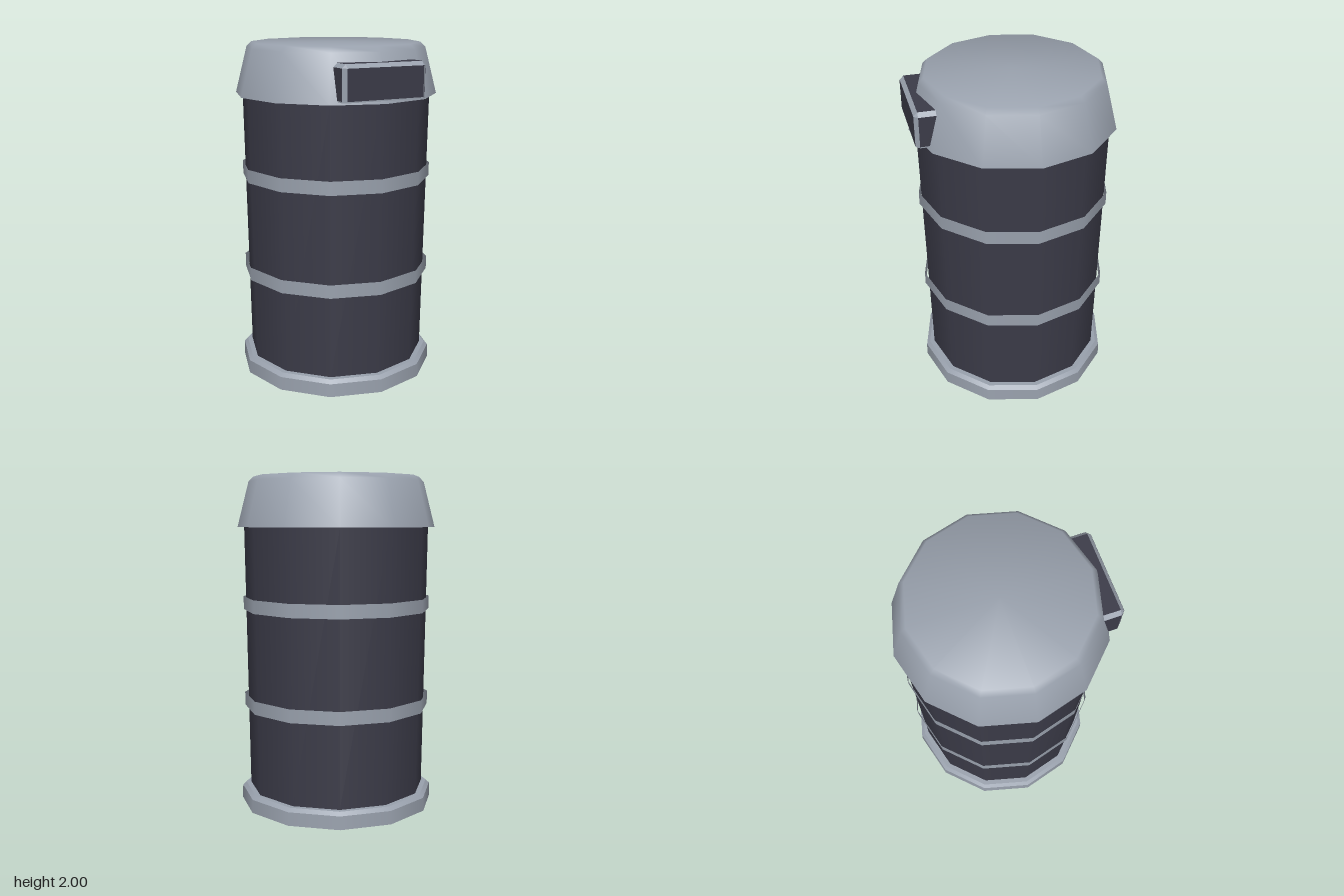
import * as THREE from 'three';
import { ConvexGeometry } from 'three/addons/geometries/ConvexGeometry.js';

const SIDES = 12;

export function createModel() {
  const model = new THREE.Group();
  model.name = 'trashCan';

  const material = (name, color) => {
    const m = new THREE.MeshStandardMaterial({ color, side: THREE.DoubleSide });
    m.name = name;
    return m;
  };
  const grey = material('metalGrey', 0x99a1ad);
  const dark = material('darkBody', 0x3b3b48);

  const add = (name, geometry, mat, parent = model) => {
    const mesh = new THREE.Mesh(geometry, mat);
    mesh.name = name;
    parent.add(mesh);
    return mesh;
  };
  // Profile of [radius, height] pairs turned into a twelve-sided shell
  const lathe = (points) =>
    new THREE.LatheGeometry(points.map(([r, y]) => new THREE.Vector2(r, y)), SIDES);

  // Base: a shallow tray, hollow underneath, with sharp edges
  add('baseWall', lathe([[0.595, 0], [0.592, 0.08]]), grey);
  add('baseChamfer', lathe([[0.592, 0.08], [0.57, 0.1]]), grey);
  add('baseTop', lathe([[0.57, 0.1], [0, 0.1]]), grey);

  // Slightly flared body
  const body = new THREE.CylinderGeometry(0.56, 0.54, 1.6, SIDES, 1, true);
  add('body', body.translate(0, 0.9, 0), dark);

  // Two open hoops standing just off the body
  for (const y of [0.64, 1.24]) {
    const hoop = new THREE.CylinderGeometry(0.57, 0.57, 0.08, SIDES, 1, true);
    add('hoop', hoop.translate(0, y, 0), grey);
  }

  // Lid: normals tip evenly from the wall over the edge to the middle of the top
  const lid = lathe([[0.6, 1.7], [0.53, 1.97], [0.5, 2], [0, 2]]);
  const tilt = [15, 30, 67, 90].map(THREE.MathUtils.degToRad);
  const normals = lid.attributes.normal;
  for (let i = 0; i < normals.count; i++) {
    const turn = Math.floor(i / tilt.length) * 2 * Math.PI / SIDES;
    const up = tilt[i % tilt.length];
    normals.setXYZ(i, Math.sin(turn) * Math.cos(up), Math.sin(up), Math.cos(turn) * Math.cos(up));
  }
  add('lid', lid, grey);
  add('lidUnderside', lathe([[0, 1.7], [0.6, 1.7]]), grey);

  // Handle: chamfered block sunk into the lid
  const handle = new THREE.Group();
  handle.name = 'handle';
  model.add(handle);
  const [w, bottom, top, front, back, c] = [0.257, 1.717, 1.919, 0.599, 0.42, 0.022];
  const corners = [];
  for (const s of [-1, 1]) {
    for (const z of [back, front - c]) {
      corners.push(
        new THREE.Vector3(s * w, bottom, z),
        new THREE.Vector3(s * w, top - c, z),
        new THREE.Vector3(s * (w - c), top, z));
    }
    corners.push(
      new THREE.Vector3(s * (w - c), bottom, front),
      new THREE.Vector3(s * (w - c), top - c, front));
  }
  add('handleFrame', new ConvexGeometry(corners), grey, handle);

  // Dark panels on the handle faces
  const panel = (name, sx, sy, sz, x, y, z) =>
    add(name, new THREE.BoxGeometry(sx, sy, sz), dark, handle).position.set(x, y, z);
  const t = 0.004;
  const low = bottom + 0.007;
  const midY = (low + top - c) / 2;
  const height = top - c - low;
  const depth = front - c - back;
  const midZ = (front - c + back) / 2;
  const width = 2 * (w - c);
  panel('handleFrontPanel', width, height, t, 0, midY, front - t / 4);
  panel('handleTopPanel', width, t, depth, 0, top - t / 4, midZ);
  panel('handleBottomPanel', width, t, depth, 0, bottom + t / 4, midZ);
  for (const s of [-1, 1]) {
    panel('handleSidePanel', t, height, depth, s * (w - t / 4), midY, midZ);
  }

  return model;
}
